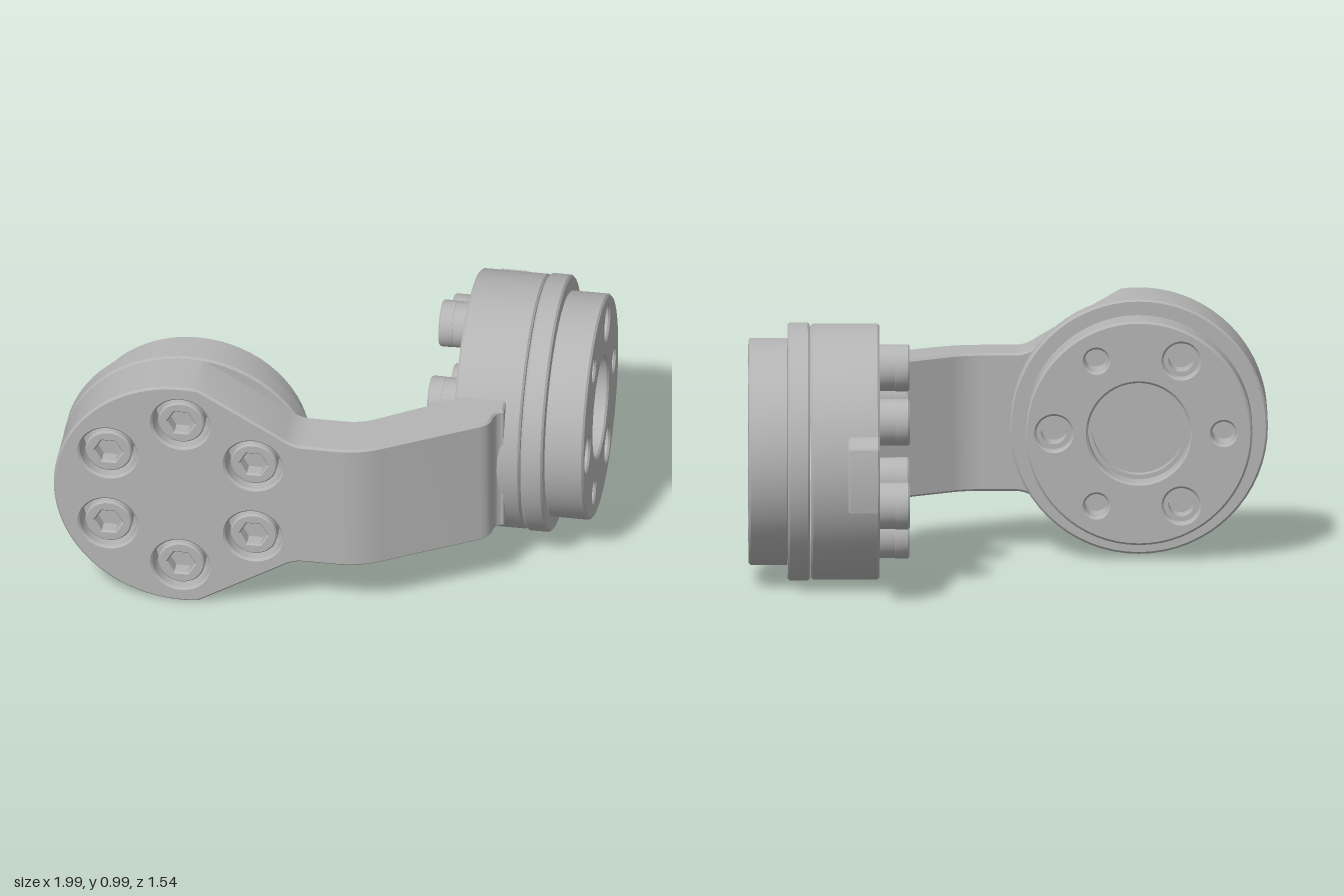
import * as THREE from 'three';
import { toCreasedNormals } from 'three/addons/utils/BufferGeometryUtils.js';

const metal = new THREE.MeshStandardMaterial({ color: 0xb4b4b4 });
metal.name = 'grey metal';

const rad = THREE.MathUtils.degToRad;
const BOLT_RING = 0.325;

function circle(r, x = 0, y = 0, Type = THREE.Path) {
  const p = new Type();
  p.absarc(x, y, r, 0, Math.PI * 2, false);
  return p;
}

const polar = (deg, r = BOLT_RING) => [r * Math.cos(rad(deg)), r * Math.sin(rad(deg))];

// Extrudes a shape from z0 to z1 with a small inset chamfer
function slab(name, shape, z0, z1, bevel = 0.008, segments = 32) {
  const geo = new THREE.ExtrudeGeometry(shape, {
    depth: z1 - z0 - 2 * bevel, curveSegments: segments,
    bevelEnabled: bevel > 0, bevelThickness: bevel, bevelSize: bevel,
    bevelOffset: -bevel, bevelSegments: 1,
  });
  geo.translate(0, 0, z0 + bevel);
  const mesh = new THREE.Mesh(toCreasedNormals(geo, 0.5), metal);
  mesh.name = name;
  return mesh;
}

function disc(name, r, z0, z1, holes = [], bevel = 0.008, segments = 32) {
  const s = circle(r, 0, 0, THREE.Shape);
  s.holes.push(...holes);
  return slab(name, s, z0, z1, bevel, segments);
}

// Socket head bolt whose head faces -z, with its top at z
function socketBolt(x, y, z) {
  const g = new THREE.Group();
  g.name = 'socketBolt';
  const hex = new THREE.Path();
  hex.setFromPoints([0, 1, 2, 3, 4, 5].map((i) => new THREE.Vector2(...polar(i * 60, 0.053))));
  hex.closePath();
  g.add(disc('boltHead', 0.09, 0, 0.06, [hex], 0.006, 16));
  g.add(disc('boltBase', 0.089, 0.055, 0.13, [], 0, 16));
  g.position.set(x, y, z);
  return g;
}

// Joint: output face towards +z, bolts towards -z
function joint(name, boltTop) {
  const g = new THREE.Group();
  g.name = name;
  g.add(disc('flangeRim', 0.495, 0, 0.085));

  const holes = [circle(0.195)];
  for (let i = 0; i < 6; i++) holes.push(circle(i % 2 ? 0.068 : 0.045, ...polar(i * 60)));
  g.add(disc('outputHub', 0.435, 0.08, 0.235, holes));

  // Steps inside the bore and the counterbored holes
  g.add(disc('boreStep', 0.2, 0.08, 0.135, [circle(0.178)], 0));
  for (const a of [60, 180, 300]) {
    const step = disc('counterboreStep', 0.072, 0.08, 0.185, [circle(0.05)], 0, 16);
    const [x, y] = polar(a);
    step.position.set(x, y, 0);
    g.add(step);
  }
  for (let i = 0; i < 6; i++) g.add(socketBolt(...polar(30 + i * 60), boltTop));
  return g;
}

export function createModel() {
  const model = new THREE.Group();
  model.name = 'jointedArm';
  const cx = -0.505, cy = 0.5, low = 0.235, high = 0.77;

  // First joint, output facing the back
  const jointA = joint('frontJoint', -0.197);
  jointA.rotation.y = Math.PI;
  jointA.position.set(cx, cy, 0.56);
  model.add(jointA);

  // Mounting plate: round on the outside, narrowing to the arm
  const plate = new THREE.Shape();
  plate.absarc(cx, cy, 0.493, rad(82), rad(278), false);
  plate.lineTo(-0.115, low - 0.03);
  plate.quadraticCurveTo(-0.075, low, -0.03, low);
  plate.lineTo(0.08, low);
  plate.lineTo(0.08, high);
  plate.lineTo(-0.03, high);
  plate.quadraticCurveTo(-0.075, high, -0.115, high + 0.03);
  plate.closePath();
  for (let i = 0; i < 6; i++) {
    const [x, y] = polar(30 + i * 60);
    plate.holes.push(circle(0.11, cx + x, cy + y));
    // Floor of each bolt recess
    const seat = disc('boltSeat', 0.113, 0.565, 0.66, [], 0, 16);
    seat.position.set(cx + x, cy + y, 0);
    model.add(seat);
  }
  model.add(slab('mountingPlate', plate, 0.562, 0.768));

  // Bent arm, drawn from above as (x, -z) and extruded upwards
  const a = new THREE.Shape();
  a.moveTo(-0.03, -0.768);
  a.lineTo(0.1, -0.768);
  a.quadraticCurveTo(0.19, -0.768, 0.27, -0.72);
  a.lineTo(0.61, -0.52);
  a.quadraticCurveTo(0.655, -0.495, 0.655, -0.45);
  a.quadraticCurveTo(0.66, -0.41, 0.69, -0.405);
  a.lineTo(0.69, -0.25);
  a.lineTo(0.495, -0.25);
  a.lineTo(0.495, -0.345);
  a.lineTo(0.21, -0.53);
  a.quadraticCurveTo(0.16, -0.562, 0.1, -0.562);
  a.lineTo(-0.03, -0.562);
  a.closePath();
  const arm = slab('bentArm', a, low, high, 0.008, 10);
  arm.rotation.x = -Math.PI / 2;
  model.add(arm);

  // Second joint, output facing the model's left
  const jointB = joint('sideJoint', -0.382);
  jointB.rotation.y = Math.PI / 2;
  jointB.position.set(0.757, cy, -0.07);
  jointB.add(disc('housing', 0.49, -0.267, -0.004, [circle(0.125)]));

  // Flared stop tab on the housing
  const t = new THREE.Shape();
  t.moveTo(0.4, -0.15);
  t.lineTo(0.462, -0.15);
  t.quadraticCurveTo(0.49, -0.098, 0.55, -0.1);
  t.lineTo(0.69, -0.122);
  t.quadraticCurveTo(0.71, 0, 0.69, 0.122);
  t.lineTo(0.55, 0.1);
  t.quadraticCurveTo(0.49, 0.098, 0.462, 0.15);
  t.lineTo(0.4, 0.15);
  t.closePath();
  jointB.add(slab('stopTab', t, -0.266, -0.147, 0.006, 10));
  model.add(jointB);

  return model;
}
